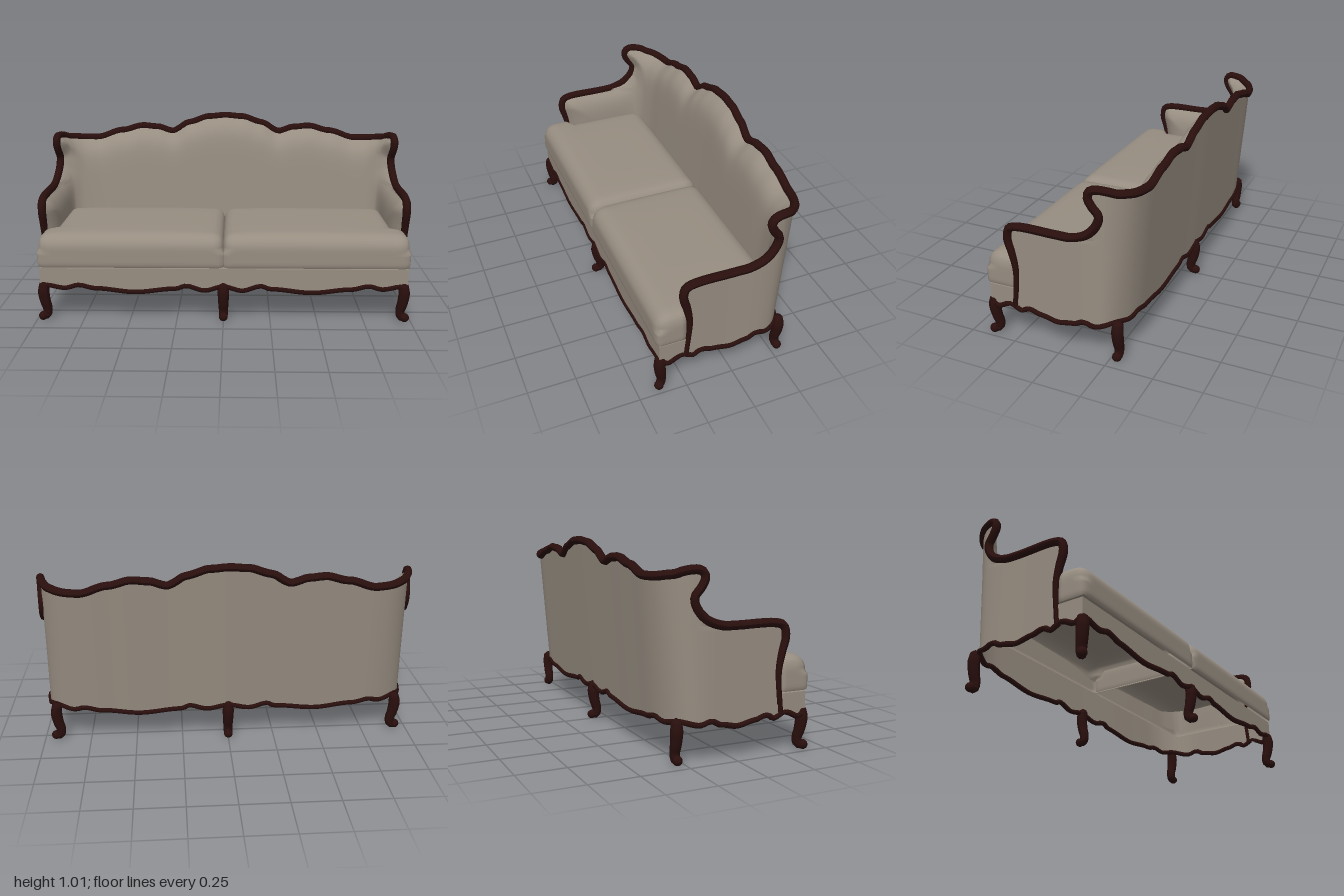
import * as THREE from 'three';
import { mergeVertices } from 'three/addons/utils/BufferGeometryUtils.js';

const V = (x, y, z) => new THREE.Vector3(x, y, z);
const { clamp, lerp, smoothstep } = THREE.MathUtils;

// Table lookup, eased between entries when smooth
function lookup(table, t, smooth = true) {
  if (t <= table[0][0]) return table[0][1];
  for (let i = 1; i < table.length; i++) {
    const [a, va] = table[i - 1], [b, vb] = table[i];
    if (t <= b) {
      let f = (t - a) / (b - a);
      if (smooth) f = f * f * (3 - 2 * f);
      return va + (vb - va) * f;
    }
  }
  return table[table.length - 1][1];
}

// Half plan of the wraparound shell: arm front, rounded corner, middle of back
const plan = new THREE.CatmullRomCurve3([
  [0.972, 0.27], [0.972, 0.05], [0.972, -0.18], [0.95, -0.27], [0.88, -0.345],
  [0.78, -0.377], [0.6, -0.383], [0.3, -0.386], [0, -0.391],
].map(([x, z]) => V(x, 0, z)));
const L = plan.getLength();

// Side outline of arm and wing (z, y), from the foot of the arm to the wing top
const armLine = [
  [0.248, 0.19], [0.232, 0.4], [0.247, 0.49], [0.267, 0.57], [0.255, 0.62], [0.21, 0.636],
  [0, 0.638], [-0.08, 0.642], [-0.16, 0.672], [-0.212, 0.725], [-0.224, 0.775],
  [-0.19, 0.82], [-0.17, 0.86], [-0.178, 0.888], [-0.205, 0.9],
];
const frontOf = armLine.map(([z, y]) => [y, 0.27 - z]);
const edges = frontOf.slice(1).map(([y, s], i) => new THREE.Line3(V(frontOf[i][1], frontOf[i][0], 0), V(s, y, 0)));
// Heights against distance along the plan
const crest = [[0.475, 0.9], [0.53, 0.895], [0.6, 0.877], [0.7, 0.866], [0.77, 0.864], [0.92, 0.905],
  [1.04, 0.932], [1.13, 0.924], [1.215, 0.9], [1.33, 0.955], [1.43, 0.985], [L, 0.993]];
const hem = [[0, 0.2], [0.06, 0.175], [0.1, 0.196], [0.17, 0.178], [0.26, 0.162], [0.35, 0.178], [0.4, 0.2],
  [0.47, 0.185], [0.6, 0.2], [0.7, 0.185], [0.76, 0.2], [0.85, 0.182], [1.06, 0.16], [1.28, 0.18],
  [1.32, 0.198], [1.42, 0.175], [L, 0.195]];
const frontHem = [[0, 0.195], [0.1, 0.172], [0.2, 0.198], [0.25, 0.182], [0.47, 0.162], [0.68, 0.182],
  [0.77, 0.2], [0.84, 0.183], [0.95, 0.2]];

// Point on the shell; the back leans rearward towards the top
function shellPoint(s, y, inset = 0, side = 1) {
  const u = clamp(s / L, 0, 1), p = plan.getPointAt(u), t = plan.getTangentAt(u);
  const lean = clamp((-p.z - 0.15) / 0.2, 0, 1) * (0.93 - y) * 0.08;
  return V(side * (u > 0.9999 ? 0 : p.x + t.z * inset), y, p.z - t.x * inset + lean);
}

// Wraparound surface: plain outside, or padded inside ending under the cushions
function shell(padded) {
  const rows = 60, half = 60, cols = half * 2, split = 20, pos = [], index = [], near = V();
  for (let j = 0; j <= rows; j++) {
    const y0 = 0.15 + 0.85 * j / rows, sf = lookup(frontOf, y0, false);
    for (let i = 0; i <= cols; i++) {
      // The first columns follow the arm outline, the others stay upright
      const k = half - Math.abs(i - half);
      const s = k < split ? lerp(sf, 0.53, k / split) : lerp(0.53, L, (k - split) / (half - split));
      const y = clamp(y0, padded ? 0.32 : lookup(hem, s), lookup(crest, s));
      let inset = 0;
      if (padded) {
        const q = V(s, y, 0);
        const d = Math.min(lookup(crest, s) - y, ...edges.map((e) => e.closestPointToPoint(q, true, near).distanceTo(q)));
        inset = (0.075 + 0.02 * smoothstep(s, 0.45, 0.75)) * (1 - Math.exp(-d / 0.045));
      }
      const p = shellPoint(s, y, inset, i < half ? -1 : 1);
      pos.push(p.x, p.y, p.z);
      if (i < cols && j < rows) {
        const a = j * (cols + 1) + i, b = a + cols + 1;
        index.push(...(padded ? [a, a + 1, b, b, a + 1, b + 1] : [a, b, a + 1, b, b + 1, a + 1]));
      }
    }
  }
  const g = new THREE.BufferGeometry();
  g.setAttribute('position', new THREE.Float32BufferAttribute(pos, 3));
  g.setIndex(index);
  g.computeVertexNormals();
  return g;
}

// Soft seat cushion, open below: tight lower edges, full top edges, wider in front of the arm
function cushion() {
  const half = V(0.462, 0.09, 0.327), r = V(), q = V(), core = V();
  let g = new THREE.BoxGeometry(half.x * 2, half.y * 2, half.z * 2, 36, 12, 36);
  const { start, count } = g.groups[3];
  g.deleteAttribute('uv');
  g.deleteAttribute('normal');
  g = mergeVertices(g);
  g.setIndex([...g.index.array].filter((_, i) => i < start || i >= start + count));
  const p = g.attributes.position;
  for (let i = 0; i < p.count; i++) {
    q.fromBufferAttribute(p, i);
    if (q.y > 0) r.set(0.045, 0.07, 0.08);
    else r.set(0.02, 0.03, 0.025);
    core.copy(half).sub(r);
    core.set(clamp(q.x, -core.x, core.x), clamp(q.y, -core.y, core.y), clamp(q.z, -core.z, core.z));
    q.sub(core).divide(r).normalize().multiply(r).add(core);
    const fx = q.x / half.x, fz = q.z / half.z;
    if (q.y > 0) q.y += 0.014 * (1 - fx ** 4) * (1 - fz ** 4);
    const x = q.x + half.x - 0.003, z = q.z + 0.076;
    p.setXYZ(i, x * (1 + 0.068 * smoothstep(z, 0.21, 0.26)), q.y + 0.38, z);
  }
  g.computeVertexNormals();
  return g;
}

// Round bar along a curve, its radius a function of the distance and the point
function bar(curve, n, sides, radius) {
  const g = new THREE.TubeGeometry(curve, n, 1, sides), p = g.attributes.position, q = V();
  for (let i = 0; i < p.count; i++) {
    const u = Math.floor(i / (sides + 1)) / n, c = curve.getPointAt(u);
    q.fromBufferAttribute(p, i).sub(c).multiplyScalar(radius(u, c)).add(c);
    p.setXYZ(i, q.x, q.y, q.z);
  }
  g.computeVertexNormals();
  return g;
}

// Curved leg with a scrolled toe pointing along +z: [z, y, radius]
function legGeometry() {
  const knots = [[0, 0.22, 0.006], [0, 0.205, 0.026], [0.006, 0.16, 0.031], [-0.002, 0.1, 0.028],
    [-0.014, 0.055, 0.025], [-0.008, 0.026, 0.024], [0.014, 0.024, 0.021]];
  const curve = new THREE.CatmullRomCurve3(knots.map(([z, y]) => V(0, y, z)));
  return bar(curve, 24, 10, (u) => {
    const k = curve.getUtoTmapping(u) * (knots.length - 1), a = Math.min(Math.floor(k), knots.length - 2);
    return lerp(knots[a][2], knots[a + 1][2], k - a);
  });
}

export function createModel() {
  const fabric = new THREE.MeshStandardMaterial({ color: 0x978d81, side: THREE.DoubleSide });
  fabric.name = 'taupe upholstery';
  const wood = new THREE.MeshStandardMaterial({ color: 0x290f0d, side: THREE.DoubleSide });
  wood.name = 'dark mahogany';
  const model = new THREE.Group();
  model.name = 'sofa';
  const add = (name, geometry, material, parent = model) => {
    const m = new THREE.Mesh(geometry, material);
    m.name = name;
    parent.add(m);
  };
  const mirrored = (half) => [...half, ...half.slice(0, -1).reverse().map((p) => V(-p.x, p.y, p.z))];

  // Upholstered shell
  add('outerShell', shell(false), fabric);
  add('innerPadding', shell(true), fabric);

  // Seat cushions; the mirrored one has its faces reversed
  add('leftCushion', cushion(), fabric);
  const right = cushion().scale(-1, 1, 1), ix = right.index.array;
  for (let i = 0; i < ix.length; i += 3) [ix[i], ix[i + 1]] = [ix[i + 1], ix[i]];
  right.computeVertexNormals();
  add('rightCushion', right, fabric);

  // Front apron with a scalloped hem, its returns and the ledge under the cushions
  const apron = new THREE.Shape();
  apron.moveTo(-0.975, 0.292);
  for (let i = -48; i <= 48; i++) apron.lineTo(i / 48 * 0.975, lookup(frontHem, Math.abs(i) / 48 * 0.975));
  apron.lineTo(0.975, 0.292);
  add('frontApron', new THREE.ExtrudeGeometry(apron, { depth: 0.01, bevelEnabled: false }).translate(0, 0, 0.378), fabric);
  add('seatLedge', new THREE.BoxGeometry(1.94, 0.008, 0.14).translate(0, 0.288, 0.31), fabric);
  for (const side of [1, -1])
    add('apronReturn', new THREE.BoxGeometry(0.01, 0.105, 0.15).translate(side * 0.97, 0.2395, 0.305), fabric);

  // Carved crest rail running over both arms, wings and back, slimmer at the arm feet
  const crestHalf = armLine.map(([z, y]) => shellPoint(0.27 - z, y));
  for (let s = 0.54; s < L - 0.02; s += 0.04) crestHalf.push(shellPoint(s, lookup(crest, s)));
  crestHalf.push(shellPoint(L, 0.993));
  const crestCurve = new THREE.CatmullRomCurve3(mirrored(crestHalf));
  add('crestRail', bar(crestCurve, 260, 8, (u, c) => 0.014 + 0.008 * smoothstep(c.y, 0.3, 0.58)), wood);

  // Scalloped lower rail around the whole base
  const baseHalf = [];
  for (let x = 0; x < 0.94; x += 0.03) baseHalf.push(V(x, lookup(frontHem, x), 0.385));
  baseHalf.push(V(0.968, 0.19, 0.375), V(0.974, 0.172, 0.345), V(0.974, 0.192, 0.3));
  for (let s = 0; s < L - 0.02; s += 0.03) baseHalf.push(shellPoint(s, lookup(hem, s)));
  baseHalf.push(shellPoint(L, 0.195));
  const loop = mirrored(baseHalf).slice(0, -1);
  add('lowerRail', new THREE.TubeGeometry(new THREE.CatmullRomCurve3(loop, true), 320, 0.014, 6, true), wood);

  // Six legs: x, z, direction of the toe
  const legShape = legGeometry(), toeShape = new THREE.SphereGeometry(0.024, 12, 8).translate(0, 0.024, 0.016);
  const legs = [
    ['frontLeftLeg', 0.955, 0.376, 0.8], ['frontRightLeg', -0.955, 0.376, -0.8], ['frontMiddleLeg', 0, 0.374, 0],
    ['backLeftLeg', 0.925, -0.287, 1.6], ['backRightLeg', -0.925, -0.287, -1.6], ['backMiddleLeg', 0, -0.325, Math.PI],
  ];
  for (const [name, x, z, turn] of legs) {
    const leg = new THREE.Group();
    leg.name = name;
    leg.position.set(x, 0, z);
    leg.rotation.y = turn;
    add('legPost', legShape, wood, leg);
    add('legToe', toeShape, wood, leg);
    model.add(leg);
  }
  return model;
}
